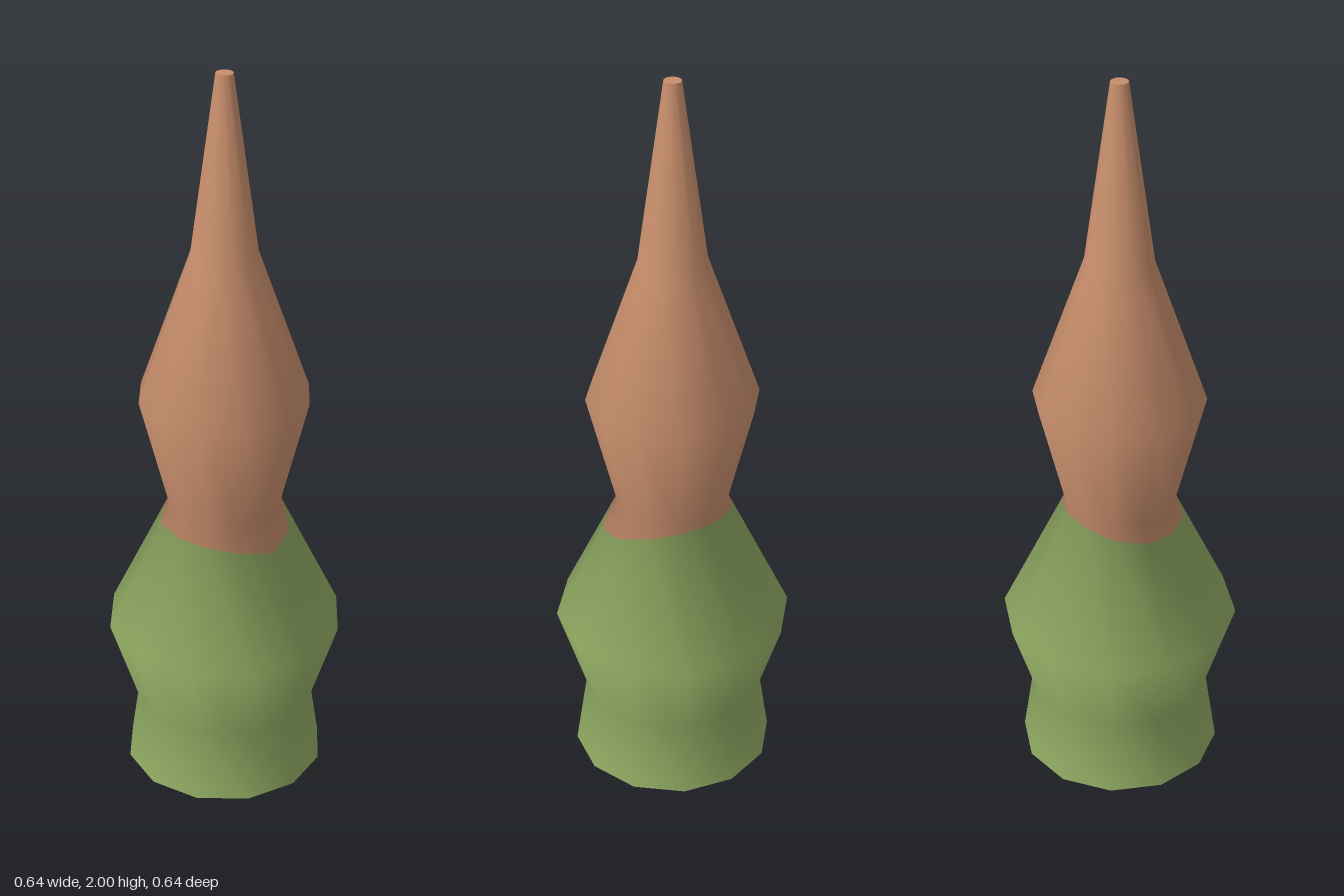
import * as THREE from 'three';

const SIDES = 12;
// Turned outline as [radius, height]; entry 3 is the paint seam
const PROFILE = [
  [0.275, 0], [0.245, 0.2], [0.322, 0.44], [0.17, 0.76], [0.15, 0.8],
  [0.23, 1.12], [0.09, 1.52], [0.023, 2],
];
const SEAM = 3;
// Height of the wavy seam on each side, starting at the front and going towards +x
const SEAM_HEIGHTS = [0.715, 0.735, 0.765, 0.783, 0.79, 0.785, 0.768, 0.753, 0.748, 0.752, 0.748, 0.735];

// Lathe whose seam ring slides along the slope between its neighbouring rings
function turnedBody() {
  const geo = new THREE.LatheGeometry(PROFILE.map(([r, y]) => new THREE.Vector2(r, y)), SIDES);
  const { position, normal } = geo.attributes;
  const a = new THREE.Vector3(), b = new THREE.Vector3();
  const y0 = PROFILE[SEAM - 1][1], y1 = PROFILE[SEAM + 1][1];
  for (let i = 0; i <= SIDES; i++) {
    const k = i * PROFILE.length + SEAM;
    const t = (SEAM_HEIGHTS[i % SIDES] - y0) / (y1 - y0);
    for (const attr of [position, normal]) {
      a.fromBufferAttribute(attr, k - 1).lerp(b.fromBufferAttribute(attr, k + 1), t);
      if (attr === normal) a.normalize();
      attr.setXYZ(k, a.x, a.y, a.z);
    }
  }
  return geo;
}

// Keep only the bands between two profile entries
function bands(body, from, to) {
  const geo = body.clone();
  const rows = PROFILE.length - 1;
  const all = Array.from(body.index.array);
  geo.setIndex(all.filter((_, n) => {
    const row = Math.floor(n / 6) % rows;
    return row >= from && row < to;
  }));
  return geo;
}

export function createModel() {
  const group = new THREE.Group();
  const green = new THREE.MeshStandardMaterial({ color: 0x92ac64 });
  green.name = 'mossGreen';
  const brown = new THREE.MeshStandardMaterial({ color: 0xc88e6c });
  brown.name = 'clayBrown';

  const add = (name, geo, material) => {
    const mesh = new THREE.Mesh(geo, material);
    mesh.name = name;
    group.add(mesh);
    return mesh;
  };

  // Green base and brown spire
  const body = turnedBody();
  add('base', bands(body, 0, SEAM), green);
  add('spire', bands(body, SEAM, PROFILE.length - 1), brown);

  // Flat ends
  add('baseUnderside', new THREE.CircleGeometry(PROFILE[0][0], SIDES).rotateX(Math.PI / 2), green);
  add('spireTip', new THREE.CircleGeometry(PROFILE.at(-1)[0], SIDES).rotateX(-Math.PI / 2), brown).position.y = 2;

  return group;
}
